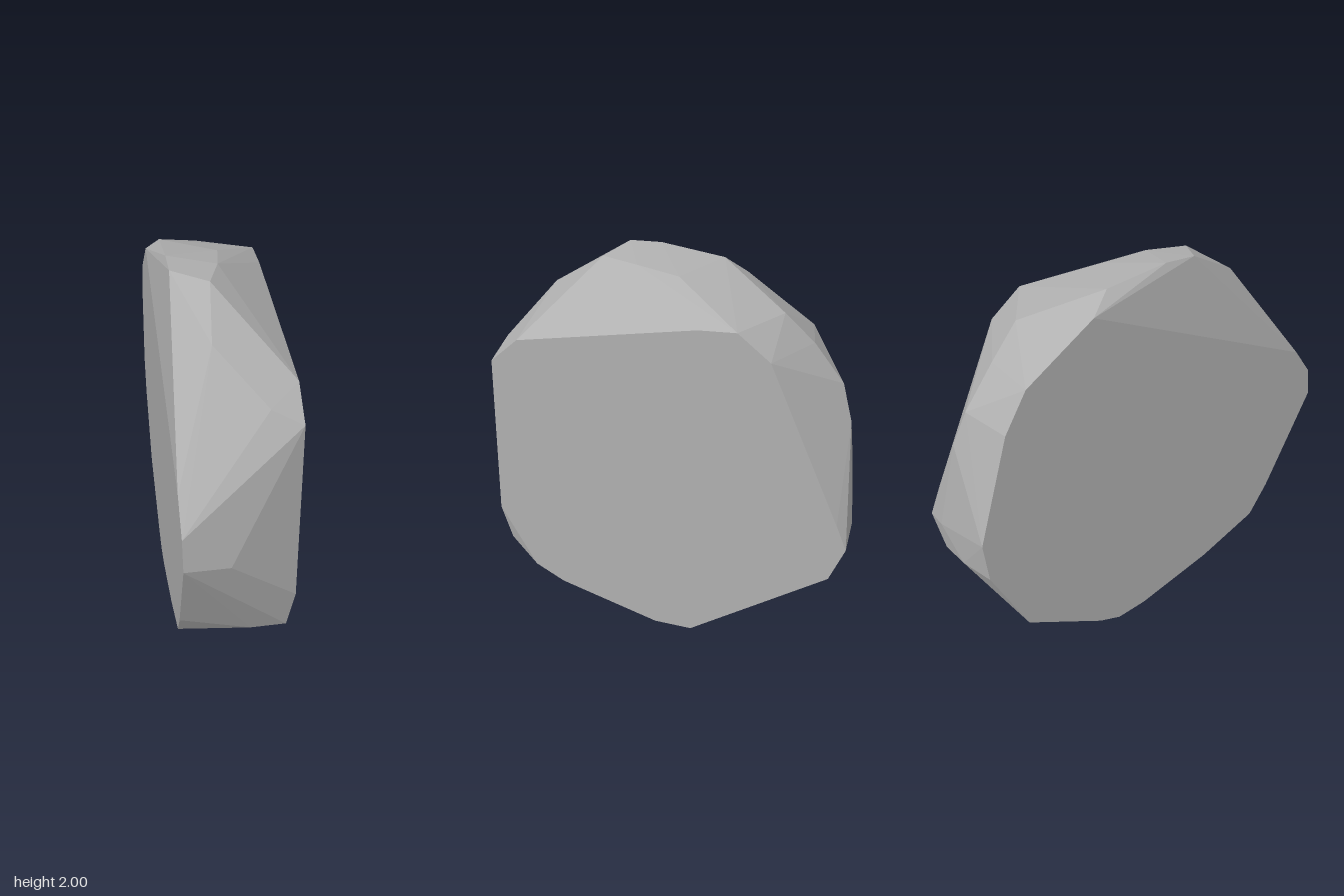
import * as THREE from 'three';
import { ConvexGeometry } from 'three/addons/geometries/ConvexGeometry.js';

const HALF = 0.267; // half the slab thickness

// Outlines of the two flat sides, as [z, y]
const leftSide = [
  [0.60, 1.655], [-0.24, 1.82], [-0.41, 1.83], [-0.56, 1.71], [-0.93, 0.91],
  [-0.99, 0.77], [-0.93, 0.57], [-0.25, 0.015], [-0.05, 0.015], [0.48, 0.18],
  [0.63, 0.27], [0.80, 0.64], [0.74, 1.53],
];
const rightSide = [
  [-0.35, 1.88], [0.86, 1.335], [0.97, 1.19], [0.995, 1.04], [0.76, 0.51],
  [0.66, 0.34], [0.335, 0.19], [-0.08, 0.06], [-0.24, 0.04], [-0.36, 0.085],
  [-0.77, 0.335], [-0.94, 0.73], [-0.955, 0.94], [-0.79, 1.47], [-0.68, 1.655],
];

// Chipped corners around the rim, as [x, y, z]
const rim = [
  // crown
  [-0.21, 1.995, 0.20], [-0.21, 2.0, 0.05], [-0.21, 1.96, -0.25],
  [-0.05, 1.97, 0.28], [0.01, 1.97, 0.10], [0.04, 1.95, -0.10],
  // front
  [-0.08, 1.81, 0.53], [0.13, 1.60, 0.71], [-0.06, 0.985, 0.94],
  [0.24, 0.415, 0.77], [0.07, 0.41, 0.765], [0.10, 0.28, 0.64],
  // back
  [0, 1.82, -0.57], [-0.03, 1.68, -0.71], [-0.04, 1.49, -0.86], [0, 1.32, -0.92],
  [-0.04, 0.88, -0.98], [-0.06, 0.69, -0.98], [0.11, 0.82, -1.0], [0.14, 0.64, -0.985],
  // underside
  [0.12, 0, -0.22],
];

export function createModel() {
  const stone = new THREE.MeshStandardMaterial({ color: 0xb0b0b0 });
  stone.name = 'stone grey';

  const corners = [
    ...leftSide.map(([z, y]) => new THREE.Vector3(HALF, y, z)),
    ...rightSide.map(([z, y]) => new THREE.Vector3(-HALF, y, z)),
    ...rim.map((p) => new THREE.Vector3(...p)),
  ];

  // One faceted stone slab, wrapped around its corners
  const slab = new THREE.Mesh(new ConvexGeometry(corners), stone);
  slab.name = 'stoneSlab';

  const model = new THREE.Group();
  model.name = 'rock';
  model.add(slab);
  return model;
}
